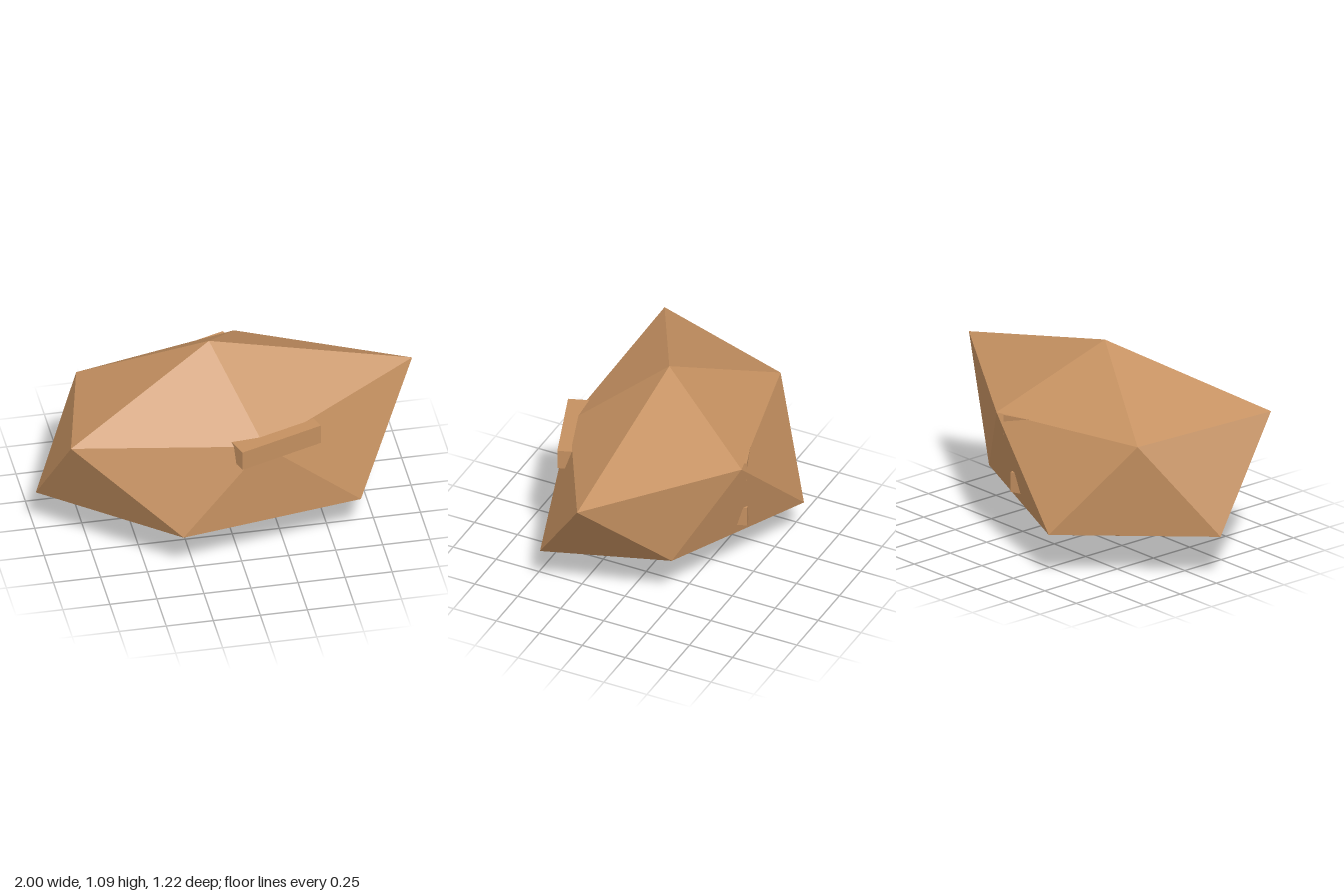
import * as THREE from 'three';

export function createModel() {
  const model = new THREE.Group();
  model.name = 'rock';
  const stone = new THREE.MeshStandardMaterial({ color: 0xc49060 });
  stone.name = 'tan stone';

  // Boulder: a stretched twenty-sided solid with two rings of five corners
  const top = [-0.08, 1.09, 0.03];
  const bottom = [-0.08, 0, 0.03];
  const upper = [[1, 0.835, 0.03], [0.12, 0.72, 0.51], [-0.9, 0.815, 0.465], [-0.72, 0.75, -0.3], [0.16, 0.75, -0.51]];
  const lower = [[0.65, 0.25, 0.42], [-0.33, 0.27, 0.61], [-1, 0.25, 0.03], [-0.37, 0.24, -0.61], [0.495, 0.305, -0.27]];
  const corners = [];
  for (let i = 0; i < 5; i++) {
    const j = (i + 1) % 5;
    corners.push(top, upper[j], upper[i]);
    corners.push(upper[i], upper[j], lower[i]);
    corners.push(lower[i], upper[j], lower[j]);
    corners.push(bottom, lower[i], lower[j]);
  }
  const geometry = new THREE.BufferGeometry();
  geometry.setAttribute('position', new THREE.Float32BufferAttribute(corners.flat(), 3));
  geometry.computeVertexNormals();
  const boulder = new THREE.Mesh(geometry, stone);
  boulder.name = 'boulder';
  model.add(boulder);

  // Flat slabs running through the boulder, their ends breaking the surface
  function addSlab(name, size, position) {
    const slab = new THREE.Mesh(new THREE.BoxGeometry(...size), stone);
    slab.name = name;
    slab.position.set(...position);
    slab.rotation.y = 0.343;
    model.add(slab);
  }
  addSlab('upperSlab', [0.476, 0.11, 0.995], [0.045, 0.697, 0.037]);
  addSlab('lowerSlab', [0.4, 0.11, 0.8], [0.011, 0.385, -0.051]);

  return model;
}
